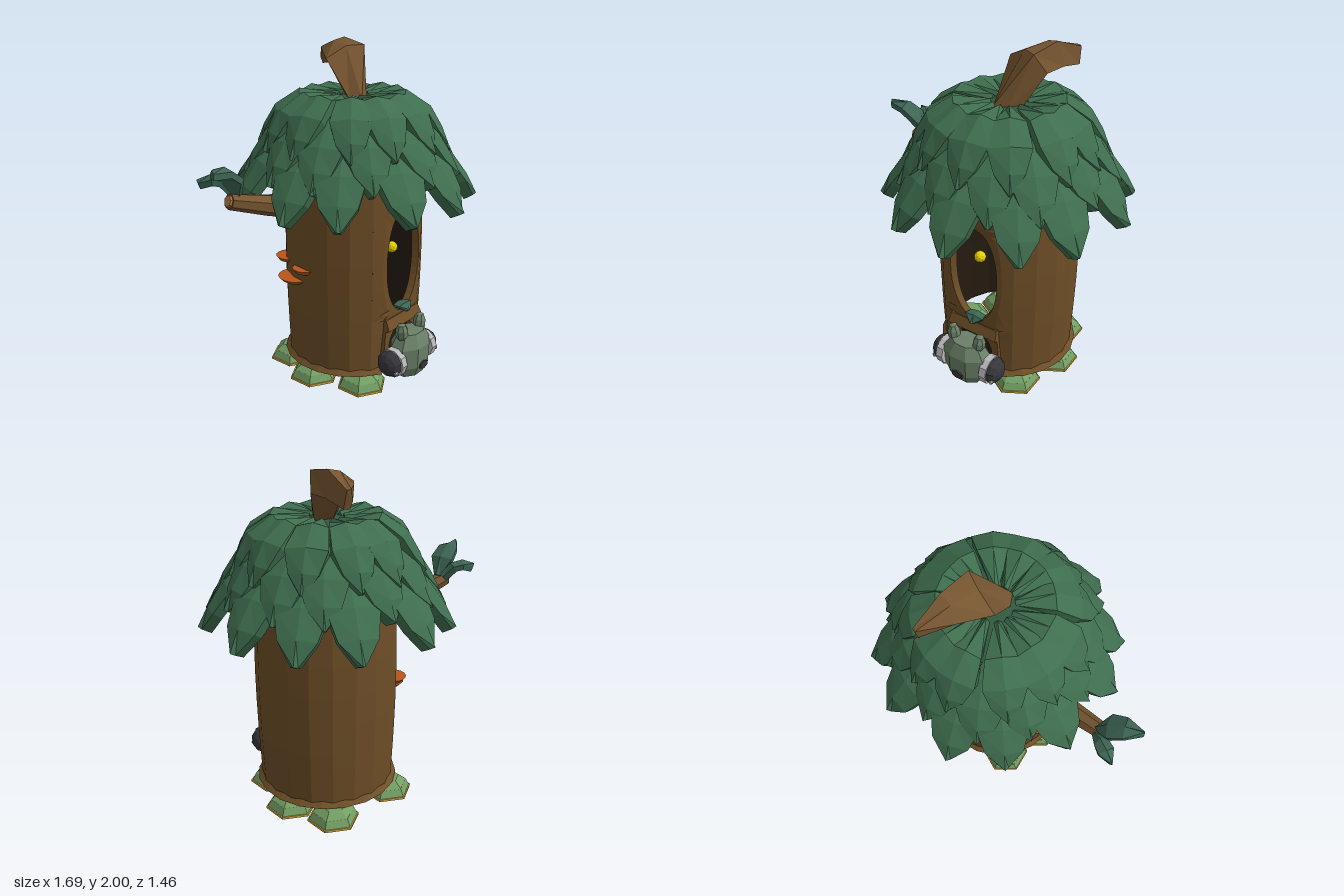
import * as THREE from 'three';

const V = (x, y, z) => new THREE.Vector3(x, y, z);
const mat = (color, side = THREE.FrontSide) => new THREE.MeshStandardMaterial({ color, flatShading: true, side });
const BARK = mat(0x6e4e27, THREE.DoubleSide), STEM = mat(0x765530), LEAF = mat(0x3f6e4f), TEAL = mat(0x3d6655);
const DARK = mat(0x241b11, THREE.DoubleSide), GOLD = mat(0xd0a840), FOOT = mat(0x74a065), ORANGE = mat(0xb8561a);
const YELLOW = mat(0xe6d200), SAGE = mat(0x6b8068), BLACK = mat(0x36363b), WHITE = mat(0xb8b8ba), CUT = mat(0xb08050);
const CX = 0.135, STEP = Math.PI / 10;

function add(parent, name, geometry, material, x = 0, y = 0, z = 0) {
  const m = new THREE.Mesh(geometry, material);
  m.name = name;
  m.position.set(x, y, z);
  parent.add(m);
  return m;
}

function fromTriangles(points) {
  const g = new THREE.BufferGeometry().setFromPoints(points);
  g.computeVertexNormals();
  return g;
}

// surface from a rule f(u, v), u and v in 0..1
function grid(nu, nv, f) {
  const p = [];
  for (let i = 0; i < nu; i++) for (let j = 0; j < nv; j++) {
    const a = f(i / nu, j / nv), b = f((i + 1) / nu, j / nv);
    const c = f((i + 1) / nu, (j + 1) / nv), d = f(i / nu, (j + 1) / nv);
    p.push(a, b, c, a, c, d);
  }
  return fromTriangles(p);
}

// closed solid through matching rings of points, turned outward by its signed volume
function loft(rings) {
  const p = [], n = rings[0].length;
  for (let i = 0; i < rings.length - 1; i++) for (let j = 0; j < n; j++) {
    const k = (j + 1) % n, A = rings[i], B = rings[i + 1];
    p.push(A[j], A[k], B[k], A[j], B[k], B[j]);
  }
  const last = rings[rings.length - 1];
  for (let j = 1; j < n - 1; j++) p.push(rings[0][0], rings[0][j + 1], rings[0][j], last[0], last[j], last[j + 1]);
  let vol = 0;
  for (let i = 0; i < p.length; i += 3) vol += p[i].dot(V(0, 0, 0).crossVectors(p[i + 1], p[i + 2]));
  return fromTriangles(vol < 0 ? p.reverse() : p);
}

// tapered limb through [x, y, z, radius] stations
function limb(stations, sides) {
  const c = stations.map(s => V(s[0], s[1], s[2]));
  return loft(stations.map((s, i) => {
    const t = c[Math.min(i + 1, c.length - 1)].clone().sub(c[Math.max(i - 1, 0)]).normalize();
    const side = V(0.3, 0, 1).cross(t).normalize(), up = t.clone().cross(side);
    return Array.from({ length: sides }, (_, k) => {
      const a = k / sides * Math.PI * 2;
      return c[i].clone().addScaledVector(side, Math.cos(a) * s[3]).addScaledVector(up, Math.sin(a) * s[3]);
    });
  }));
}

// thick ridged leaf along [outward, height, halfWidth] stations, lying over +z
function leaf(path, ridge, thick) {
  return loft(path.map(([r, y, w], i) => {
    const a = path[Math.max(i - 1, 0)], b = path[Math.min(i + 1, path.length - 1)];
    const dr = b[0] - a[0], dy = b[1] - a[1], l = Math.hypot(dr, dy);
    const at = (x, h) => V(x, y + h * dr / l, r - h * dy / l);
    return [at(-w, 0), at(0, ridge), at(w, 0), at(w * 0.95, -thick), at(0, ridge * 0.4 - thick), at(-w * 0.95, -thick)];
  }));
}

// point on the twenty-sided trunk wall, flattened at the front below the canopy
function wallPoint(a, y, inset = 0) {
  const swell = 0.398 + 0.018 * Math.sin(Math.PI * Math.min(1, Math.max(0, (y - 0.11) / 1.3)));
  const inFacet = a - Math.floor(a / STEP) * STEP - STEP / 2;
  const r = swell * Math.cos(STEP / 2) / Math.cos(inFacet) - inset;
  return V(CX + Math.sin(a) * r, y, Math.min(Math.cos(a) * r, 0.374 - inset + Math.max(0, y - 1.06) * 0.4));
}

function buildTrunk(g) {
  // wall leaving out a number of facets either side of the front
  const wall = (skip, y0, y1) => grid(20 - 2 * skip, 4, (u, v) =>
    wallPoint(skip * STEP + u * (20 - 2 * skip) * STEP + 1e-6, y0 + v * (y1 - y0)));
  add(g, 'lowerTrunk', wall(1, 0.11, 0.44), BARK);
  add(g, 'middleTrunk', wall(2, 0.44, 1.15), BARK);
  add(g, 'upperTrunk', wall(0, 1.15, 1.45), BARK);
  // wall around the oval hollow, blended from a rectangle to an ellipse
  const hole = t => [0.395 * Math.cos(t), 0.78 + 0.32 * Math.sin(t)];
  add(g, 'hollowSurround', grid(40, 3, (u, v) => {
    const t = u * Math.PI * 2, c = Math.cos(t), s = Math.sin(t), m = Math.max(Math.abs(c), Math.abs(s));
    const [ha, hy] = hole(t);
    const oa = 2 * STEP * c / m, oy = 0.795 + 0.355 * s / m;
    return wallPoint(oa + (ha - oa) * v, oy + (hy - oy) * v);
  }), BARK);
  add(g, 'hollowRim', grid(40, 1, (u, v) => wallPoint(...hole(u * Math.PI * 2), v * 0.04)), BARK);
  add(g, 'hollowInside', grid(16, 3, (u, v) => wallPoint(2 * STEP + u * 16 * STEP, 0.14 + v * 1.3, 0.03)), DARK);
  // base flange, open below
  add(g, 'baseFlange', new THREE.CylinderGeometry(0.395, 0.425, 0.03, 17, 1, true, 1.5 * STEP, 17 * STEP), BARK, CX, 0.12, 0);
  // doorway frame with a sloping lintel
  const door = new THREE.Shape([[-0.185, 0.11], [0.185, 0.11], [0.16, 0.44], [-0.16, 0.44]].map(p => new THREE.Vector2(...p)));
  const arch = new THREE.Path().moveTo(-0.14, 0.115).lineTo(-0.13, 0.25);
  arch.absarc(0, 0.25, 0.13, Math.PI, 0, true).lineTo(0.14, 0.115);
  door.holes.push(arch);
  const frame = new THREE.ExtrudeGeometry(door, { depth: 0.05, bevelEnabled: false, curveSegments: 6 });
  add(g, 'doorFrame', frame, BARK, CX, 0, 0.328);
  const lintel = [-0.16, 0.16].map(x => [V(x, 0.45, 0.36), V(x, 0.44, 0.378), V(x * 1.05, 0.38, 0.405), V(x * 1.05, 0.36, 0.36)]);
  add(g, 'doorLintel', loft(lintel), BARK, CX);
  add(g, 'doorwayDark', new THREE.PlaneGeometry(0.29, 0.28), DARK, CX, 0.25, 0.3);
  for (const x of [0.075, 0.232]) add(g, 'eye', new THREE.IcosahedronGeometry(0.036, 1), YELLOW, x, 0.788, 0.22);
  add(g, 'hollowLeaf', leaf([[0.34, 0.49, 0.05], [0.39, 0.495, 0.06], [0.42, 0.46, 0.01]], 0.01, 0.015), TEAL, CX + 0.01);
}

function buildCanopy(g) {
  const canopy = new THREE.Group();
  canopy.name = 'canopy';
  canopy.position.x = 0.12;
  g.add(canopy);
  const profile = [[0.4, 1.33], [0.44, 1.36], [0.41, 1.5], [0.3, 1.64], [0.2, 1.68], [0, 1.7]].map(p => new THREE.Vector2(...p));
  add(canopy, 'canopyCore', new THREE.LatheGeometry(profile, 18), mat(0x33583f, THREE.DoubleSide));
  const tiers = [
    ['lowerLeaf', 5, [[0.3, 1.53, 0.06], [0.43, 1.47, 0.11], [0.56, 1.36, 0.14], [0.655, 1.23, 0.105], [0.715, 1.115, 0.02]]],
    ['middleLeaf', 20, [[0.18, 1.66, 0.04], [0.37, 1.6, 0.1], [0.49, 1.49, 0.13], [0.565, 1.375, 0.09], [0.615, 1.27, 0.012]]],
    ['upperLeaf', 5, [[0.1, 1.69, 0.02], [0.3, 1.715, 0.085], [0.43, 1.63, 0.115], [0.495, 1.52, 0.08], [0.535, 1.42, 0.01]]],
  ];
  tiers.forEach(([name, start, path], t) => {
    const geo = leaf(path, 0.022, 0.06);
    for (let k = 0; k < 12; k++) {
      const m = add(canopy, name, geo, LEAF);
      m.rotation.y = THREE.MathUtils.degToRad(start + k * 30 + 3 * Math.sin(k * 2.3 + t * 1.7));
    }
  });
}

function buildLimbs(g) {
  // bent five-sided stem, from its foot to its cut end
  const stem = [
    [[0.05, 1.69, 0.03], [0.08, 1.69, 0.1], [0.16, 1.69, 0.07], [0.21, 1.69, 0], [0.12, 1.69, -0.05]],
    [[0.04, 1.9, -0.13], [0.16, 1.965, -0.08], [0.25, 1.97, -0.02], [0.3, 1.86, -0.08], [0.17, 1.85, -0.18]],
    [[0.17, 1.92, -0.27], [0.22, 1.985, -0.22], [0.29, 2, -0.2], [0.32, 1.86, -0.22], [0.24, 1.85, -0.27]],
    [[0.3, 1.87, -0.4], [0.31, 1.93, -0.4], [0.33, 1.925, -0.39], [0.335, 1.83, -0.37], [0.31, 1.83, -0.39]],
  ];
  add(g, 'stem', loft(stem.map(ring => ring.map(p => V(...p)))), STEM);
  add(g, 'branch', limb([[-0.22, 1.1, -0.1, 0.08], [-0.45, 1.15, -0.14, 0.06], [-0.69, 1.22, -0.18, 0.045]], 7), STEM);
  add(g, 'branchEnd', limb([[-0.685, 1.219, -0.179, 0.036], [-0.7, 1.224, -0.182, 0.032]], 7), CUT);
  // two sprouting leaves near the branch tip
  const sprouts = [[-1.35, [[0, 0, 0.02], [0.05, 0.1, 0.07], [0.13, 0.155, 0.06], [0.23, 0.16, 0.01]], -0.18],
    [-2.2, [[0, 0, 0.015], [0.06, 0.07, 0.04], [0.12, 0.085, 0.045], [0.19, 0.06, 0.006]], -0.22]];
  for (const [turn, path, z] of sprouts) {
    add(g, 'sproutLeaf', leaf(path, 0.02, 0.035), TEAL, -0.615, 1.25, z).rotation.y = turn;
  }
  // half-disc shelf mushrooms on the trunk's right side
  for (const [deg, y, s] of [[50, 0.728, 0.85], [83, 0.725, 0.75], [69, 0.645, 1.1]]) {
    const a = Math.PI + THREE.MathUtils.degToRad(deg), p = wallPoint(a, y, 0.015);
    const disc = new THREE.CylinderGeometry(0.1, 0.075, 0.025, 8, 1, false, -Math.PI / 2, Math.PI);
    const m = add(g, 'shelfMushroom', disc, ORANGE, p.x, p.y, p.z);
    m.scale.set(s, 1, s * 0.9);
    m.rotation.y = a;
  }
}

function buildFeet(g) {
  const hex = (r0, r1, h) => new THREE.CylinderGeometry(r1, r0, h, 6);
  for (const s of [-1, 1]) for (const [out, z] of [[0.22, 0.25], [0.32, -0.04], [0.22, -0.3]]) {
    const foot = new THREE.Group();
    foot.name = 'foot';
    foot.position.set(0.13 + s * out, 0, z);
    g.add(foot);
    add(foot, 'footSole', hex(0.152, 0.152, 0.014), GOLD, 0, 0.012);
    add(foot, 'footLower', hex(0.145, 0.122, 0.045), FOOT, 0, 0.04);
    add(foot, 'footUpper', hex(0.122, 0.075, 0.036), FOOT, 0, 0.08);
  }
}

function buildHead(g) {
  const head = new THREE.Group();
  head.name = 'doorCreature';
  head.position.set(0.13, 0.215, 0.445);
  g.add(head);
  const profile = [[0, -0.135], [0.105, -0.135], [0.145, -0.07], [0.152, 0.055], [0.1, 0.135], [0, 0.138]].map(p => new THREE.Vector2(...p));
  add(head, 'creatureHead', new THREE.LatheGeometry(profile, 8, Math.PI / 8), SAGE).scale.z = 0.7;
  add(head, 'mouth', new THREE.CylinderGeometry(0.042, 0.042, 0.03, 6).rotateX(Math.PI / 2), BLACK, 0, -0.065, 0.09).scale.y = 0.6;
  for (const s of [-1, 1]) {
    const ear = add(head, 'ear', new THREE.SphereGeometry(0.04, 7, 5), SAGE, s * 0.09, 0.148, 0);
    ear.scale.set(1, 1.6, 1);
    ear.rotation.z = -s * 0.12;
    add(head, 'earpieceRing', new THREE.CylinderGeometry(0.088, 0.088, 0.045, 10).rotateZ(Math.PI / 2), WHITE, s * 0.155, -0.022, -0.012);
    add(head, 'earpiece', new THREE.SphereGeometry(0.082, 10, 7).rotateZ(Math.PI / 2), BLACK, s * 0.178, -0.022, -0.015).scale.x = 0.8;
    add(head, 'earpieceStud', new THREE.IcosahedronGeometry(0.018, 0), WHITE, s * 0.205, -0.055, 0.045);
  }
}

export function createModel() {
  const g = new THREE.Group();
  g.name = 'treeHouse';
  for (const build of [buildTrunk, buildCanopy, buildLimbs, buildFeet, buildHead]) build(g);
  return g;
}
